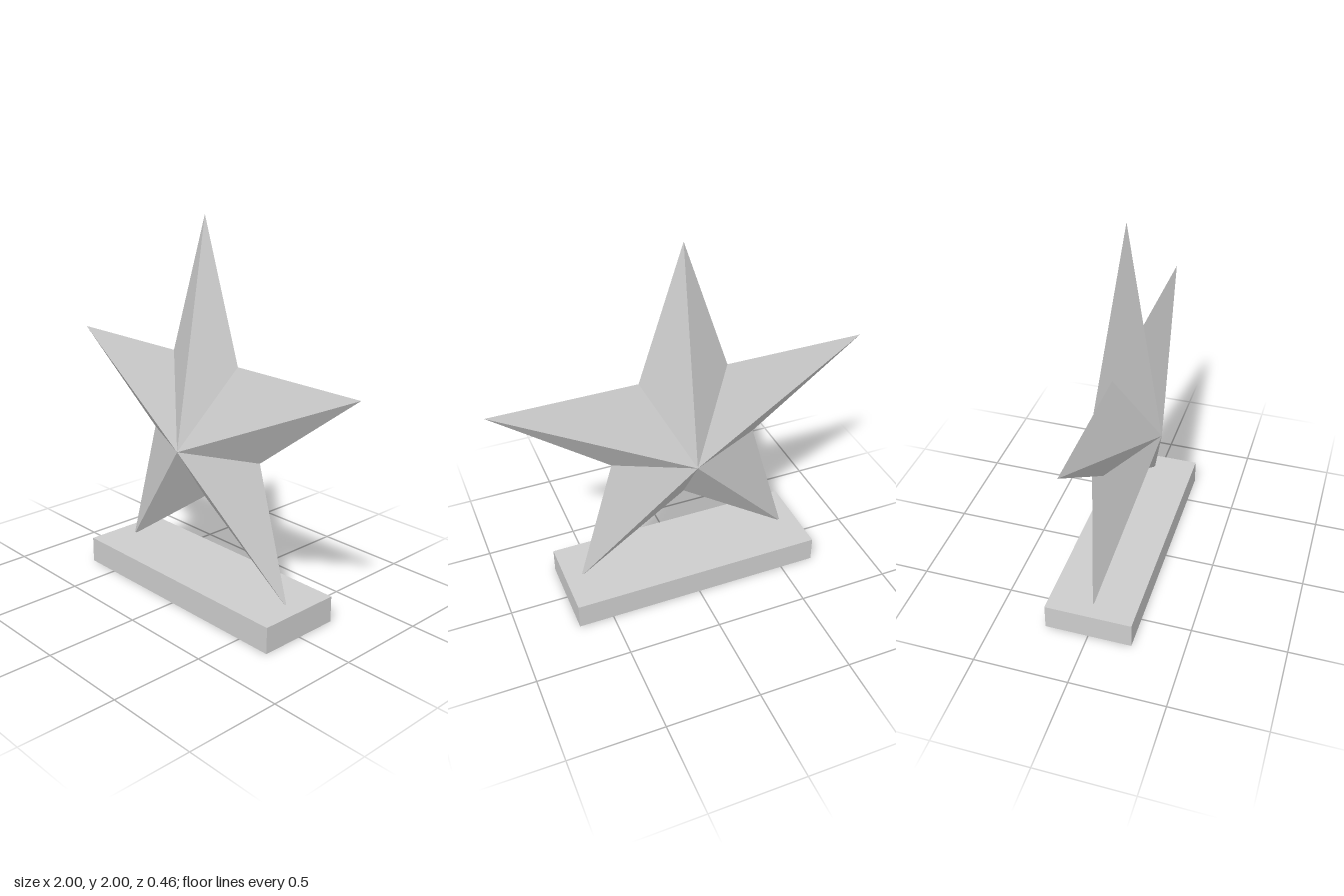
import * as THREE from 'three';

export function createModel() {
  const group = new THREE.Group();
  const grey = new THREE.MeshStandardMaterial({ color: 0xcccccc, flatShading: true });
  grey.name = 'grey';

  // Right half of the star outline, from the top tip clockwise to the bottom notch
  const half = [[0, 2], [0.237, 1.285], [1, 1.285], [0.397, 0.83], [0.6, 0.125], [0, 0.54]];
  const mirrored = half.slice(1, -1).reverse().map(([x, y]) => [-x, y]);
  const outline = [...half, ...mirrored];

  // Faceted star: every outline edge joins a front and a back apex
  const centreY = 0.83, depth = 0.19;
  const positions = [];
  outline.forEach(([x, y], i) => {
    const [nx, ny] = outline[(i + 1) % outline.length];
    positions.push(0, centreY, depth, nx, ny, 0, x, y, 0);
    positions.push(0, centreY, -depth, x, y, 0, nx, ny, 0);
  });
  const starGeometry = new THREE.BufferGeometry();
  starGeometry.setAttribute('position', new THREE.Float32BufferAttribute(positions, 3));
  starGeometry.computeVertexNormals();
  const star = new THREE.Mesh(starGeometry, grey);
  star.name = 'star';

  // Flat plinth holding the two lower tips
  const base = new THREE.Mesh(new THREE.BoxGeometry(1.376, 0.14, 0.464), grey);
  base.name = 'base';
  base.position.y = 0.07;

  group.add(star, base);
  return group;
}
